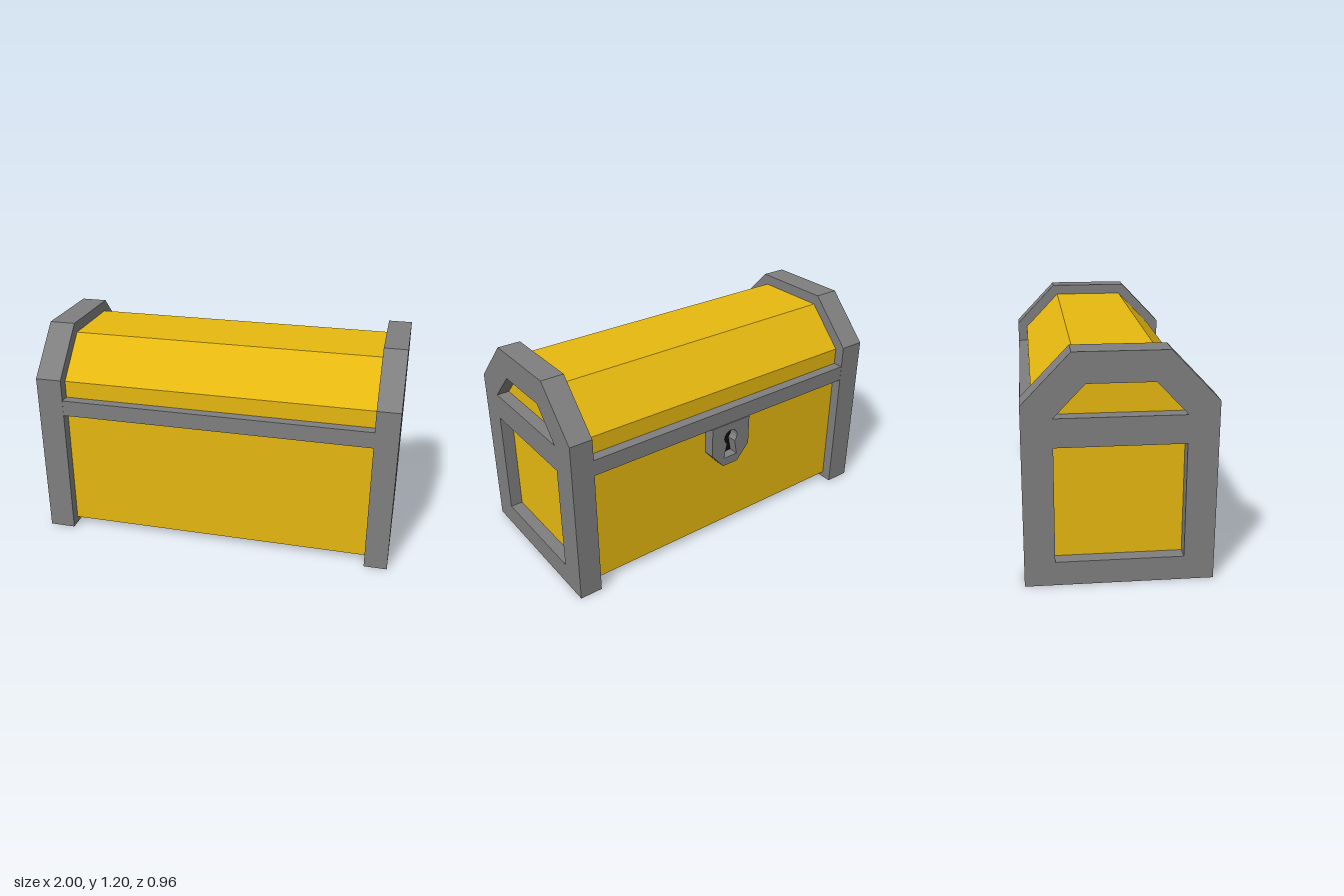
import * as THREE from 'three';

const material = (color) => new THREE.MeshStandardMaterial({ color, flatShading: true });
const gold = material(0xe6b810);
const iron = material(0x7f7f7f);
const black = material(0x0c0c0c);

const points = (list) => list.map(([x, y]) => new THREE.Vector2(x, y));

// Symmetric outline from the points of its right half, listed bottom to top
const mirrored = (half) => points([...half, ...half.map(([x, y]) => [-x, y]).reverse()]);

// Extrudes a z-y profile along x, from x0 to x1
function extrudeAlongX(outline, holes, x0, x1) {
  const shape = new THREE.Shape(outline);
  holes.forEach((hole) => shape.holes.push(new THREE.Path(hole)));
  const geometry = new THREE.ExtrudeGeometry(shape, { depth: x1 - x0, bevelEnabled: false });
  return geometry.rotateY(Math.PI / 2).translate(x0, 0, 0);
}

export function createModel() {
  const chest = new THREE.Group();
  chest.name = 'treasureChest';
  const add = (name, geometry, mat) => {
    const mesh = new THREE.Mesh(geometry, mat);
    mesh.name = name;
    chest.add(mesh);
    return mesh;
  };

  // Box and faceted lid, split at the band
  const body = mirrored([[0.42, 0.035], [0.42, 0.78]]);
  const lid = mirrored([[0.42, 0.78], [0.42, 0.92], [0.21, 1.14]]);
  add('body', extrudeAlongX(body, [], -0.93, 0.93), gold);
  add('lid', extrudeAlongX(lid, [], -0.93, 0.93), gold);

  // Gabled end frames with a square and a trapezoid window
  const frame = mirrored([[0.478, 0], [0.478, 0.945], [0.235, 1.2]]);
  const windows = [
    mirrored([[0.324, 0.128], [0.324, 0.733]]),
    mirrored([[0.324, 0.88], [0.168, 1.046]]),
  ];
  add('leftEndFrame', extrudeAlongX(frame, windows, 0.873, 1), iron);
  add('rightEndFrame', extrudeAlongX(frame, windows, -1, -0.855), iron);

  // Rails along the front and back
  for (const [name, side] of [['frontRail', 1], ['backRail', -1]]) {
    const rail = new THREE.BoxGeometry(1.728, 0.09, 0.077);
    add(name, rail.translate(0.009, 0.779, side * 0.4385), iron);
  }

  // Lock plate with a keyhole, on the back
  const plate = new THREE.Shape(mirrored([[0.05, 0.47], [0.13, 0.562], [0.13, 0.735]]));
  const keyhole = new THREE.Path();
  keyhole.moveTo(-0.046, 0.52);
  keyhole.lineTo(0.046, 0.52);
  keyhole.lineTo(0.026, 0.61);
  keyhole.absarc(0, 0.645, 0.045, -0.9, Math.PI + 0.9, false);
  keyhole.closePath();
  plate.holes.push(keyhole);
  const lock = new THREE.ExtrudeGeometry(plate, { depth: 0.062, bevelEnabled: false, curveSegments: 6 });
  add('lockPlate', lock.translate(0, 0, -0.482), iron);
  const dark = new THREE.BoxGeometry(0.12, 0.2, 0.01);
  add('keyholeInside', dark.translate(0, 0.605, -0.422), black);

  return chest;
}
